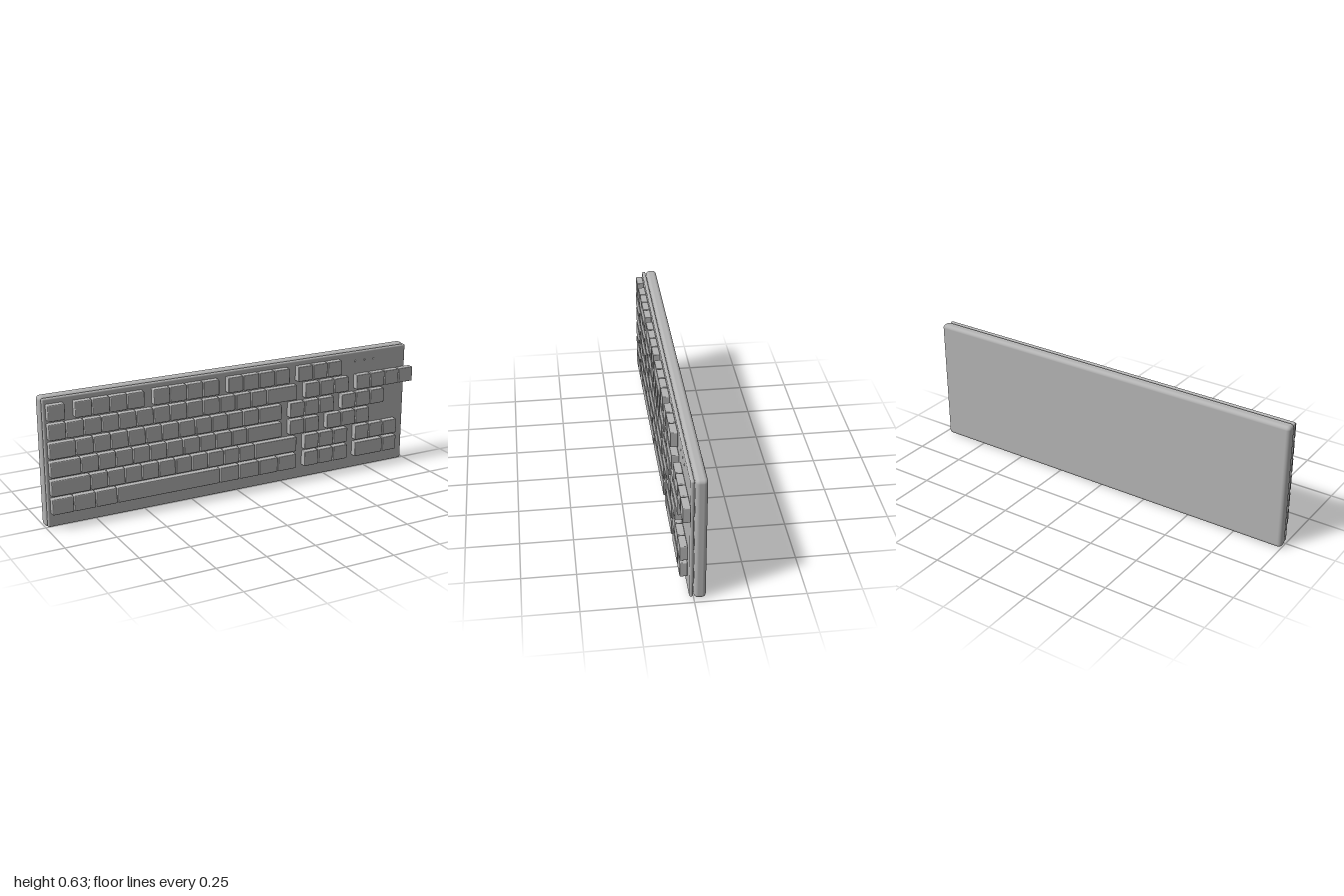
import * as THREE from 'three';
import { RoundedBoxGeometry } from 'three/addons/geometries/RoundedBoxGeometry.js';

const PITCH = 0.0863, GAP = 0.005, LEFT = -0.98;     // key grid across
const TOP_ROW = 0.567, ROW_STEP = 0.0903, KEY_HEIGHT = 0.076;

// Each row is a list of blocks: [start in key units, widths of the keys in it]
const ones = (n) => Array(n).fill(1);
const ROWS = [
  [[0, [1]], [1.5, ones(4)], [6, ones(4)], [10.5, ones(4)], [15, ones(3)]],
  [[0, [...ones(13), 2]], [15.5, ones(3)], [19, ones(4)]],
  [[0, [1.5, ...ones(11), 1.5]], [14.5, ones(3)], [18, ones(3)]],
  [[0, [1.75, ...ones(10), 2.25]], [14.5, ones(2)], [17, ones(3)]],
  [[0, [2.25, ...ones(10), 2.75]], [15.5, ones(3)], [19, ones(3)]],
  [[0, [1.25, 1.25, 1.25, 6.25, 1.25, 1.25, 1.25, 1.25]], [15.5, ones(3)], [19, [2, 1]]],
];

export function createModel() {
  const model = new THREE.Group();
  model.name = 'keyboard';
  const grey = new THREE.MeshStandardMaterial({ color: 0xb4b4b4 });
  grey.name = 'grey plastic';

  // Rounded box spanning z0 to z1
  const slab = (name, x, y, w, h, z0, z1, radius, segments, parent = model) => {
    const mesh = new THREE.Mesh(new RoundedBoxGeometry(w, h, z1 - z0, segments, radius), grey);
    mesh.name = name;
    mesh.position.set(x, y, (z0 + z1) / 2);
    parent.add(mesh);
  };

  // Case and the thinner plate in front of it
  slab('case', -0.011, 0.3165, 1.978, 0.633, -0.0545, -0.001, 0.018, 4);
  slab('topPlate', -0.011, 0.3185, 1.967, 0.623, 0.002, 0.02, 0.0085, 4);

  // Keys, row by row
  ROWS.forEach((blocks, r) => {
    const row = new THREE.Group();
    row.name = `keyRow${r + 1}`;
    model.add(row);
    for (const [start, widths] of blocks) {
      let u = start;
      for (const width of widths) {
        const w = width * PITCH - GAP;
        slab('key', LEFT + u * PITCH + w / 2, TOP_ROW - r * ROW_STEP, w, KEY_HEIGHT,
          0.0205, 0.0555, 0.004, 2, row);
        u += width;
      }
    }
  });

  // Three indicator lights
  [0.668, 0.724, 0.778].forEach((x) => {
    const light = new THREE.Mesh(new THREE.SphereGeometry(0.005, 12, 8), grey);
    light.name = 'indicatorLight';
    light.position.set(x, 0.58, 0.019);
    model.add(light);
  });

  return model;
}
